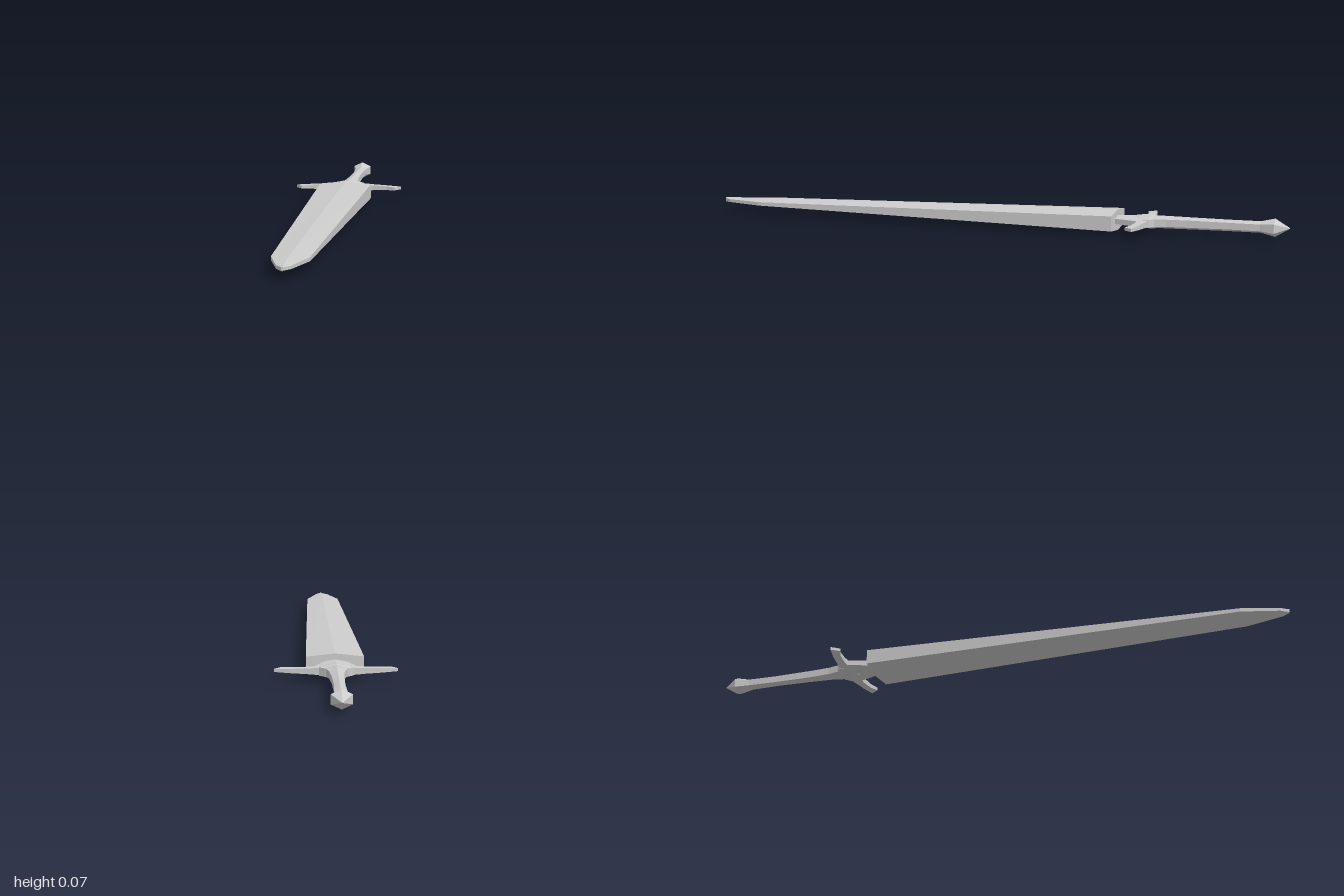
import * as THREE from 'three';

const MID = 0.037; // height of the sword's flat centre plane

// Joins equal-sized rings of points into a closed solid, capped at both ends.
function loft(rings) {
  const n = rings[0].length;
  const pos = rings.flat(2);
  const index = [];
  for (let r = 0; r < rings.length - 1; r++) {
    for (let i = 0; i < n; i++) {
      const j = (i + 1) % n;
      const a = r * n + i, b = r * n + j, c = a + n, d = b + n;
      index.push(a, b, d, a, d, c);
    }
  }
  const last = (rings.length - 1) * n;
  for (let i = 1; i < n - 1; i++) {
    index.push(0, i + 1, i);
    index.push(last, last + i, last + i + 1);
  }
  const indexed = new THREE.BufferGeometry();
  indexed.setAttribute('position', new THREE.Float32BufferAttribute(pos, 3));
  indexed.setIndex(index);
  const geo = indexed.toNonIndexed();
  geo.computeVertexNormals();
  return geo;
}

// Six-sided ring across z: half width, half height at the sides, half height
// at the ridge.
function hexRing([z, w, side, ridge]) {
  return [
    [w, MID - side, z], [w, MID + side, z], [0, MID + ridge, z],
    [-w, MID + side, z], [-w, MID - side, z], [0, MID - ridge, z],
  ];
}

// Rectangular ring across x, for the cross guard.
function guardRing([x, zBack, zFront, h]) {
  return [
    [x, MID - h, zBack], [x, MID + h, zBack],
    [x, MID + h, zFront], [x, MID - h, zFront],
  ];
}

export function createModel() {
  const group = new THREE.Group();
  group.name = 'sword';
  const steel = new THREE.MeshStandardMaterial({ color: 0xcccccc, flatShading: true });
  steel.name = 'steel';

  const add = (name, geo) => {
    const mesh = new THREE.Mesh(geo, steel);
    mesh.name = name;
    group.add(mesh);
  };
  const addHex = (name, sections) => add(name, loft(sections.map(hexRing)));

  // Long tapering blade with a central ridge
  addHex('blade', [
    [-0.43, 0.092, 0.025, 0.035],
    [0.85, 0.058, 0.006, 0.014],
    [0.975, 0.022, 0.005, 0.009],
    [1.0, 0.003, 0.005, 0.008],
  ]);

  // Collar between guard and blade
  addHex('collar', [
    [-0.515, 0.07, 0.009, 0.018],
    [-0.425, 0.037, 0.009, 0.016],
  ]);

  // Raised block in the middle of the guard
  addHex('guardBlock', [
    [-0.56, 0.036, 0.013, 0.022],
    [-0.545, 0.053, 0.013, 0.024],
    [-0.52, 0.053, 0.011, 0.023],
    [-0.495, 0.025, 0.009, 0.02],
  ]);

  // Cross guard whose arms sweep toward the blade
  const arm = [
    [0.04, -0.546, -0.508, 0.012],
    [0.09, -0.539, -0.511, 0.009],
    [0.14, -0.533, -0.506, 0.007],
  ];
  const right = arm.map(([x, ...rest]) => [-x, ...rest]).reverse();
  const rings = [...right, ...arm].map(guardRing);
  // Slanted arm tips
  const tip = (s) => guardRing([0, -0.521, -0.494, 0.005])
    .map(([, y, z]) => [s * (z < -0.51 ? 0.193 : 0.172), y, z]);
  add('crossGuard', loft([tip(-1), ...rings, tip(1)]));

  // Grip, slightly waisted
  addHex('grip', [
    [-0.91, 0.02, 0.011, 0.019],
    [-0.8, 0.017, 0.011, 0.019],
    [-0.68, 0.019, 0.012, 0.02],
    [-0.6, 0.024, 0.012, 0.021],
    [-0.55, 0.036, 0.012, 0.021],
  ]);

  // Pointed, faceted pommel
  addHex('pommel', [
    [-1.0, 0.001, 0.0005, 0.001],
    [-0.952, 0.032, 0.015, 0.03],
    [-0.905, 0.02, 0.011, 0.019],
  ]);

  // Rest the lowest ridge on the ground
  group.position.y = -0.002;
  return group;
}
